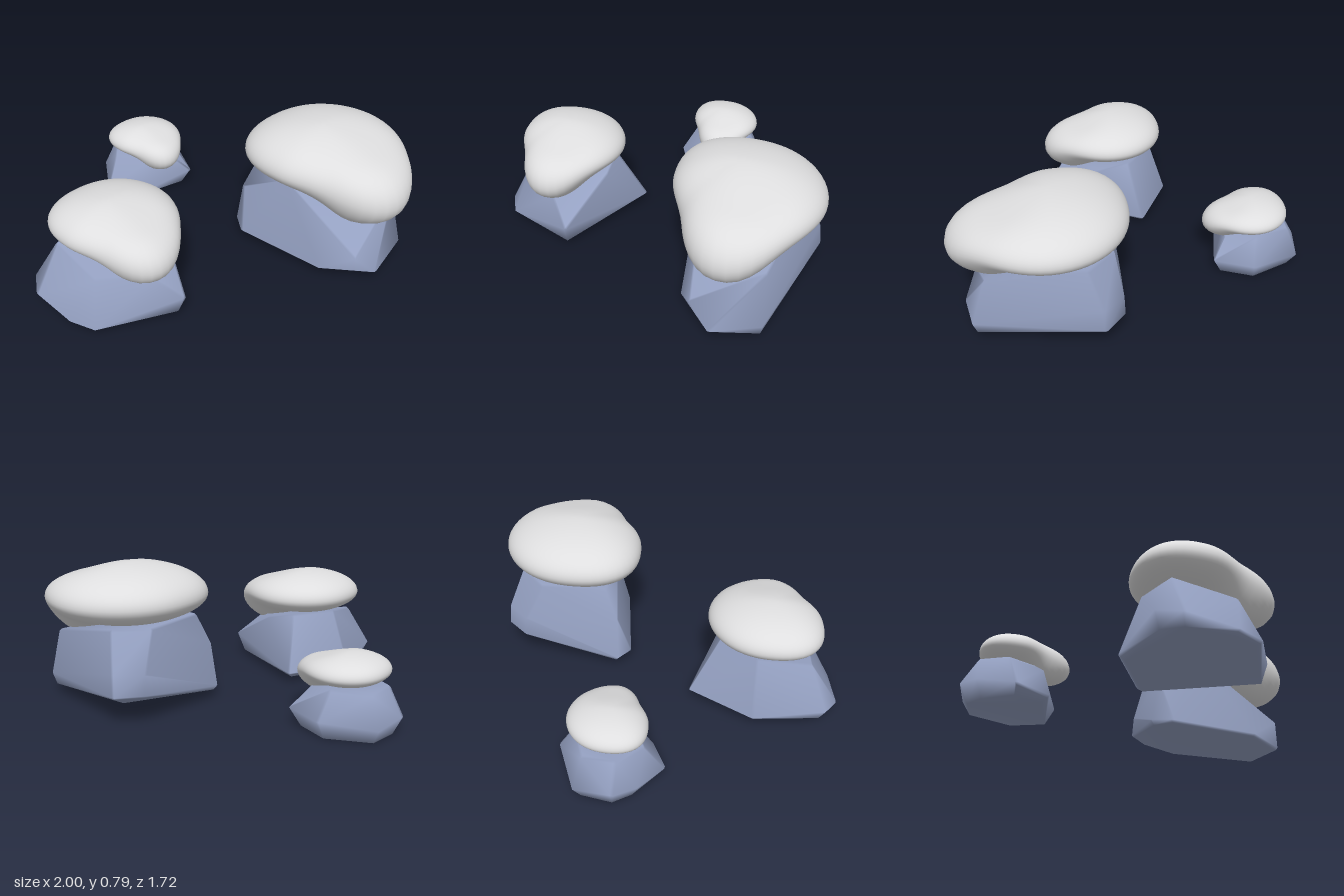
import * as THREE from 'three';
import { mergeVertices } from 'three/addons/utils/BufferGeometryUtils.js';
import { ConvexGeometry } from 'three/addons/geometries/ConvexGeometry.js';

// Drop flat normals, weld and smooth
function smooth(geometry) {
  geometry.deleteAttribute('normal');
  geometry.deleteAttribute('uv');
  const welded = mergeVertices(geometry, 1e-4);
  welded.computeVertexNormals();
  return welded;
}

// Angular boulder with narrow rounded edges: hull of small octahedra at the corners.
// Low waist corners also get a foot on the ground, drawn in towards the middle.
function rockGeometry({ base, footSize, waist, shoulder }) {
  const r = 0.012, points = [];
  const corners = [...waist, ...shoulder].map((c) => new THREE.Vector3(...c));
  const centre = new THREE.Vector3();
  corners.forEach((c) => centre.addScaledVector(c, 1 / corners.length));
  corners.forEach((corner, i) => {
    const p = corner.clone().lerp(centre, 0.015);
    for (let axis = 0; axis < 3; axis++) {
      for (const s of [-r, r]) {
        const q = p.clone();
        q.setComponent(axis, q.getComponent(axis) + s);
        q.y = Math.max(q.y, base);
        points.push(q);
      }
    }
    if (i < waist.length && corner.y < base + 0.118) {
      points.push(centre.clone().lerp(corner, footSize).setY(base));
    }
  });
  return smooth(new ConvexGeometry(points));
}

// Snow outline radius every 45 degrees, turning from +x to +z
const outline = [0.46, 0.535, 0.35, 0.36, 0.43, 0.41, 0.42, 0.44];
function outlineRadius(angle) {
  const t = ((angle / (Math.PI / 4)) % 8 + 8) % 8;
  const i = Math.floor(t), f = t - i;
  const at = (k) => outline[(k + 8) % 8];
  const [a, b, c, d] = [at(i - 1), at(i), at(i + 1), at(i + 2)];
  return b + 0.5 * f * (c - a + f * (2 * a - 5 * b + 4 * c - d + f * (3 * (b - c) + d - a)));
}

// Soft pillow with one lobe sagging towards +x +z
function snowGeometry() {
  const geometry = smooth(new THREE.SphereGeometry(1, 56, 36));
  const pos = geometry.attributes.position;
  for (let i = 0; i < pos.count; i++) {
    const x = pos.getX(i), y = pos.getY(i), z = pos.getZ(i);
    const angle = Math.atan2(z, x);
    const r = Math.hypot(x, z) * outlineRadius(angle);
    const px = r * Math.cos(angle), pz = r * Math.sin(angle);
    const along = (px + pz) * Math.SQRT1_2, across = (pz - px) * Math.SQRT1_2;
    const sag = THREE.MathUtils.smoothstep(along, -0.04, 0.34) * Math.exp(-(Math.abs(across / 0.26) ** 3));
    const drop = THREE.MathUtils.lerp(0.155, 0.045, THREE.MathUtils.smoothstep(y, -0.8, 0.8));
    pos.setXYZ(i, px, y * (y > 0 ? 0.18 : 0.15) - sag * drop, pz);
  }
  geometry.computeVertexNormals();
  return geometry;
}

// Waist and shoulder corners of each boulder, with the place and size of its snow
const largeRock = {
  name: 'large', base: 0.047, footSize: 0.96, snow: [0.525, 0.61, -0.03], snowSize: 1,
  waist: [
    [0.055, 0.07, -0.1], [0.085, 0.06, 0.01], [0.53, 0.06, 0.315], [0.84, 0.06, 0.33], [0.98, 0.11, 0.11],
    [0.58, 0.06, -0.26], [0.72, 0.18, 0.37], [0.62, 0.17, -0.495], [0.46, 0.17, -0.48],
  ],
  shoulder: [
    [0.62, 0.29, -0.48], [0.46, 0.28, -0.47], [0.09, 0.32, -0.08], [0.17, 0.49, -0.1],
    [0.32, 0.49, 0.08], [0.42, 0.49, -0.37], [0.62, 0.49, -0.38], [0.92, 0.38, 0.06],
  ],
};
const mediumRock = {
  name: 'medium', base: 0.027, footSize: 0.91, snow: [-0.565, 0.47, 0.493], snowSize: 0.775,
  waist: [
    [-1, 0.1, 0.53], [-0.965, 0.08, 0.65], [-0.76, 0.05, 0.805], [-0.62, 0.04, 0.85],
    [-0.175, 0.14, 0.69], [-0.4, 0.06, 0.08], [-0.78, 0.06, 0.21],
  ],
  shoulder: [
    [-0.86, 0.33, 0.53], [-0.62, 0.28, 0.74], [-0.34, 0.27, 0.69],
    [-0.32, 0.33, 0.36], [-0.45, 0.37, 0.24], [-0.7, 0.38, 0.28],
  ],
};
const smallRock = {
  name: 'small', base: 0, footSize: 0.83, snow: [-0.575, 0.315, -0.565], snowSize: 0.515,
  waist: [
    [-0.78, 0.05, -0.39], [-0.6, 0.03, -0.33], [-0.285, 0.1, -0.54], [-0.38, 0.1, -0.75],
    [-0.66, 0.08, -0.85], [-0.815, 0.1, -0.73], [-0.835, 0.09, -0.6],
  ],
  shoulder: [
    [-0.76, 0.24, -0.67], [-0.64, 0.24, -0.78], [-0.45, 0.24, -0.7],
    [-0.39, 0.2, -0.53], [-0.54, 0.22, -0.43], [-0.74, 0.22, -0.49],
  ],
};

export function createModel() {
  const model = new THREE.Group();
  model.name = 'snowyRocks';
  const rockMaterial = new THREE.MeshStandardMaterial({ color: 0x95a1c2 });
  rockMaterial.name = 'blue grey rock';
  const snowMaterial = new THREE.MeshStandardMaterial({ color: 0xdededf });
  snowMaterial.name = 'snow';
  const snowShape = snowGeometry();

  for (const spec of [largeRock, mediumRock, smallRock]) {
    const group = new THREE.Group();
    group.name = `${spec.name}SnowyRock`;

    const rock = new THREE.Mesh(rockGeometry(spec), rockMaterial);
    rock.name = `${spec.name}Rock`;

    const cap = new THREE.Mesh(snowShape, snowMaterial);
    cap.name = `${spec.name}SnowCap`;
    cap.position.set(...spec.snow);
    cap.scale.setScalar(spec.snowSize);

    group.add(rock, cap);
    model.add(group);
  }
  return model;
}
